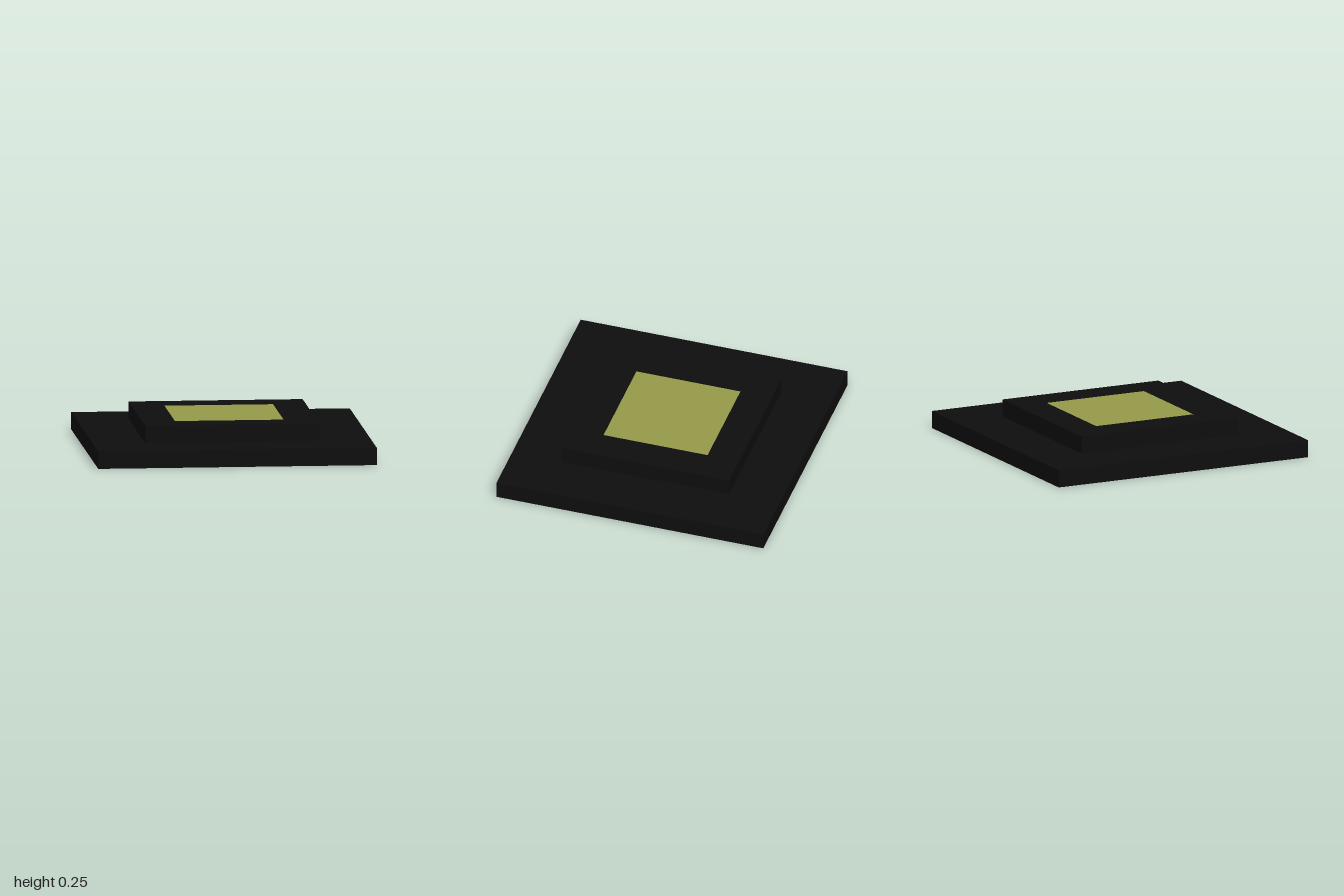
import * as THREE from 'three';

const paint = (name, color, side = THREE.FrontSide) => {
  const m = new THREE.MeshStandardMaterial({ color, side });
  m.name = name;
  return m;
};

export function createModel() {
  const black = paint('black', 0x0e0e0e);
  const olive = paint('olive', 0x969a4a, THREE.DoubleSide);
  const brown = paint('dusky brown', 0x816260);
  const rust = paint('rust', 0xbf5725);
  const red = paint('red', 0xdc4242);
  const slate = paint('slate', 0x665e6c);

  const model = new THREE.Group();
  model.name = 'steppedFrame';

  const add = (parent, name, geometry, material) => {
    const mesh = new THREE.Mesh(geometry, material);
    mesh.name = name;
    parent.add(mesh);
    return mesh;
  };

  // Square outline of a given half width
  const square = (Type, h) => new Type([[-h, -h], [h, -h], [h, h], [-h, h]]
    .map(([x, y]) => new THREE.Vector2(x, y)));

  // Flat square ring facing up or down
  const ring = (outer, inner, y, up) => {
    const shape = square(THREE.Shape, outer);
    shape.holes.push(square(THREE.Path, inner));
    return new THREE.ShapeGeometry(shape)
      .rotateX(up ? -Math.PI / 2 : Math.PI / 2).translate(0, y, 0);
  };

  // Four upright walls facing outward or inward
  const walls = (parent, name, half, y0, y1, outward, material) => {
    const group = new THREE.Group();
    group.name = name;
    for (let i = 0; i < 4; i++) {
      const g = new THREE.PlaneGeometry(half * 2, y1 - y0);
      g.translate(0, (y0 + y1) / 2, outward ? half : -half);
      g.rotateY(i * Math.PI / 2);
      add(group, name + 'Side', g, material);
    }
    parent.add(group);
  };

  // Each tier is a square slab with a square opening through it
  const tiers = [
    { name: 'lowerTier', outer: 1, inner: 0.625, y: 0, under: brown, lining: slate },
    { name: 'upperTier', outer: 0.625, inner: 0.39, y: 0.125, under: rust, lining: red },
  ];
  for (const t of tiers) {
    const tier = new THREE.Group();
    tier.name = t.name;
    const top = t.y + 0.125;
    add(tier, 'topFace', ring(t.outer, t.inner, top, true), black);
    add(tier, 'underside', ring(t.outer, t.inner, t.y, false), t.under);
    walls(tier, 'outerWall', t.outer, t.y, top, true, black);
    walls(tier, 'innerLining', t.inner, t.y, top, false, t.lining);
    model.add(tier);
  }

  // Panel closing the top opening, flush with the upper tier
  add(model, 'centrePanel',
    new THREE.PlaneGeometry(0.78, 0.78).rotateX(-Math.PI / 2).translate(0, 0.25, 0), olive);

  return model;
}
